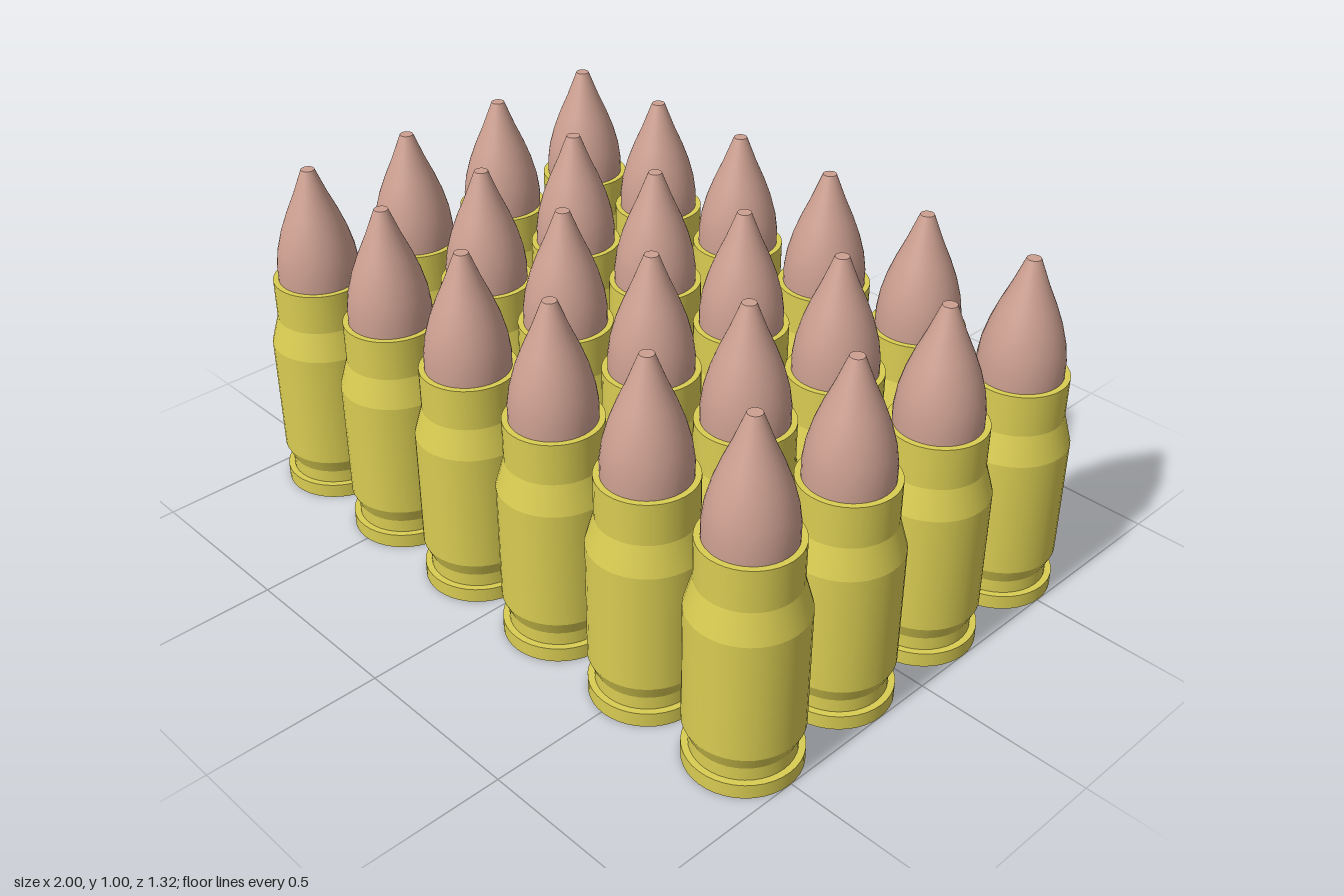
import * as THREE from 'three';
import { mergeGeometries } from 'three/addons/utils/BufferGeometryUtils.js';

const SEGMENTS = 40;

// Lathe several profile runs (bottom to top); edges between runs stay sharp
function lathe(runs) {
  return mergeGeometries(runs.map(run =>
    new THREE.LatheGeometry(run.map(([r, y]) => new THREE.Vector2(r, y)), SEGMENTS)));
}

// Split a profile into straight, sharp-edged runs
const straight = pts => pts.slice(1).map((p, i) => [pts[i], p]);

export function createModel() {
  const group = new THREE.Group();
  const R = 0.154, neckR = 0.131, primerR = 0.08, pitch = 0.3384;

  const brass = new THREE.MeshStandardMaterial({ color: 0xd9cc52 });
  const copper = new THREE.MeshStandardMaterial({ color: 0xcc9f90 });
  const dark = new THREE.MeshStandardMaterial({ color: 0x404044 });

  // Case: base ring, rim, extractor groove, body, shoulder, neck, mouth
  const caseGeo = lathe(straight([
    [primerR, 0], [R, 0], [R, 0.042], [0.136, 0.042], [0.136, 0.08],
    [R, 0.122], [R, 0.468], [neckR, 0.55], [neckR, 0.668], [0.115, 0.668],
  ]));

  // Bullet: short cylinder, curved nose, flat tip
  const tipGeo = lathe([
    [[0.115, 0.668], [0.115, 0.71], [0.108, 0.76], [0.093, 0.815],
      [0.073, 0.868], [0.048, 0.925], [0.019, 1]],
    [[0.019, 1], [0, 1]],
  ]);

  // Primer disc, flush with the base
  const primerGeo = lathe([[[0, 0], [primerR, 0]]]);

  const parts = [['case', caseGeo, brass], ['bullet', tipGeo, copper], ['primer', primerGeo, dark]];

  // 6 x 4 grid of cartridges
  for (let row = 0; row < 4; row++) {
    for (let col = 0; col < 6; col++) {
      const cartridge = new THREE.Group();
      cartridge.name = `cartridge_${row + 1}_${col + 1}`;
      for (const [name, geo, mat] of parts) {
        const mesh = new THREE.Mesh(geo, mat);
        mesh.name = name;
        cartridge.add(mesh);
      }
      cartridge.position.set((col - 2.5) * pitch, 0, (row - 1.5) * pitch);
      group.add(cartridge);
    }
  }
  return group;
}
